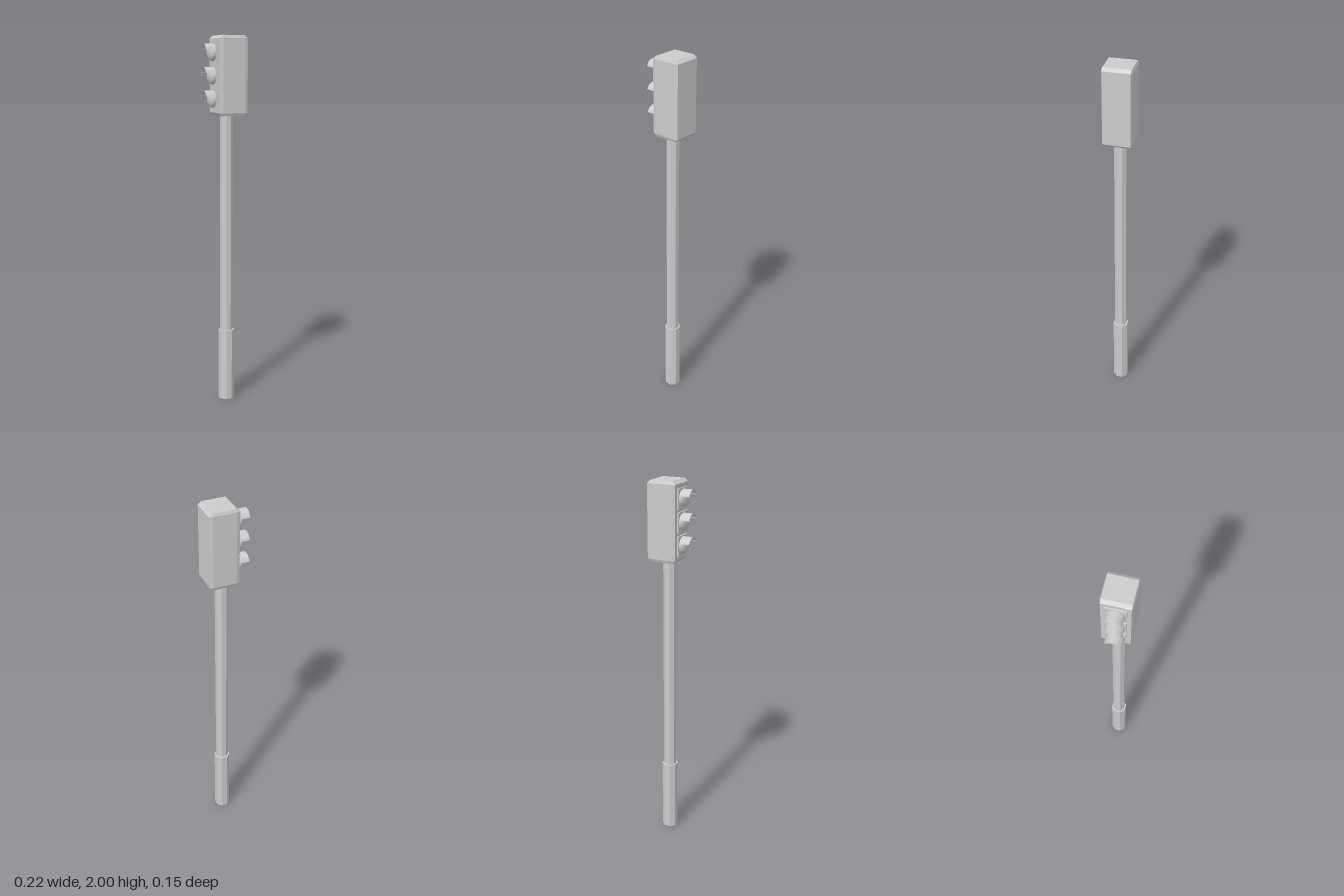
import * as THREE from 'three';
import { ConvexGeometry } from 'three/addons/geometries/ConvexGeometry.js';

const grey = new THREE.MeshStandardMaterial({ color: 0xcccccc, flatShading: true });
const thinGrey = new THREE.MeshStandardMaterial({ color: 0xcccccc, side: THREE.DoubleSide });

function add(parent, name, geometry, x, y, z, material = grey) {
  const mesh = new THREE.Mesh(geometry, material);
  mesh.name = name;
  mesh.position.set(x, y, z);
  parent.add(mesh);
  return mesh;
}

// Box with a separate bevel width per axis: hull of three boxes, each full size on one axis
function bevelledBox(half, bevel) {
  const points = [];
  for (let axis = 0; axis < 3; axis++)
    for (const sx of [-1, 1]) for (const sy of [-1, 1]) for (const sz of [-1, 1])
      points.push(new THREE.Vector3(...[sx, sy, sz].map(
        (s, i) => s * (half[i] - (i === axis ? 0 : bevel[i])))));
  return new ConvexGeometry(points);
}

// Octagonal post with flat sides facing the axes
function post(halfWidth, height) {
  const r = halfWidth / Math.cos(Math.PI / 8);
  return new THREE.CylinderGeometry(r, r, height, 8).rotateY(Math.PI / 8);
}

// One signal lamp; local +y points out of the housing, local +x is up
function createLamp() {
  const lamp = new THREE.Group();
  lamp.name = 'lamp';
  add(lamp, 'backPlate', new THREE.BoxGeometry(0.103, 0.01, 0.103), 0, 0.004, 0);

  const profile = [[0.0455, 0], [0.0455, 0.018], [0.041, 0.025], [0.03, 0.033], [0.015, 0.037], [0, 0.038]]
    .map(([r, h]) => new THREE.Vector2(r, h));
  add(lamp, 'lens', new THREE.LatheGeometry(profile, 20), 0, 0, 0, thinGrey);

  // Arched hood over the upper part of the lens
  const arc = THREE.MathUtils.degToRad(144);
  const start = Math.PI / 2 - arc / 2;
  add(lamp, 'hood', new THREE.CylinderGeometry(0.0455, 0.0455, 0.06, 14, 1, true, start, arc),
    0, 0.035, 0, thinGrey);
  return lamp;
}

export function createModel() {
  const model = new THREE.Group();
  model.name = 'trafficLight';

  // Pole
  add(model, 'poleBase', post(0.04, 0.4), 0.02, 0.2, 0);
  add(model, 'pole', post(0.032, 1.22), 0.02, 1.0, 0);

  // Signal housing
  add(model, 'housing', bevelledBox([0.079, 0.2075, 0.077], [0.017, 0.015, 0.006]), 0.032, 1.7925, 0);

  // Three lamps facing -x
  for (let i = 0; i < 3; i++) {
    const lamp = createLamp();
    lamp.rotation.z = Math.PI / 2;
    lamp.position.set(-0.047, 1.672 + i * 0.12, 0);
    model.add(lamp);
  }
  return model;
}
